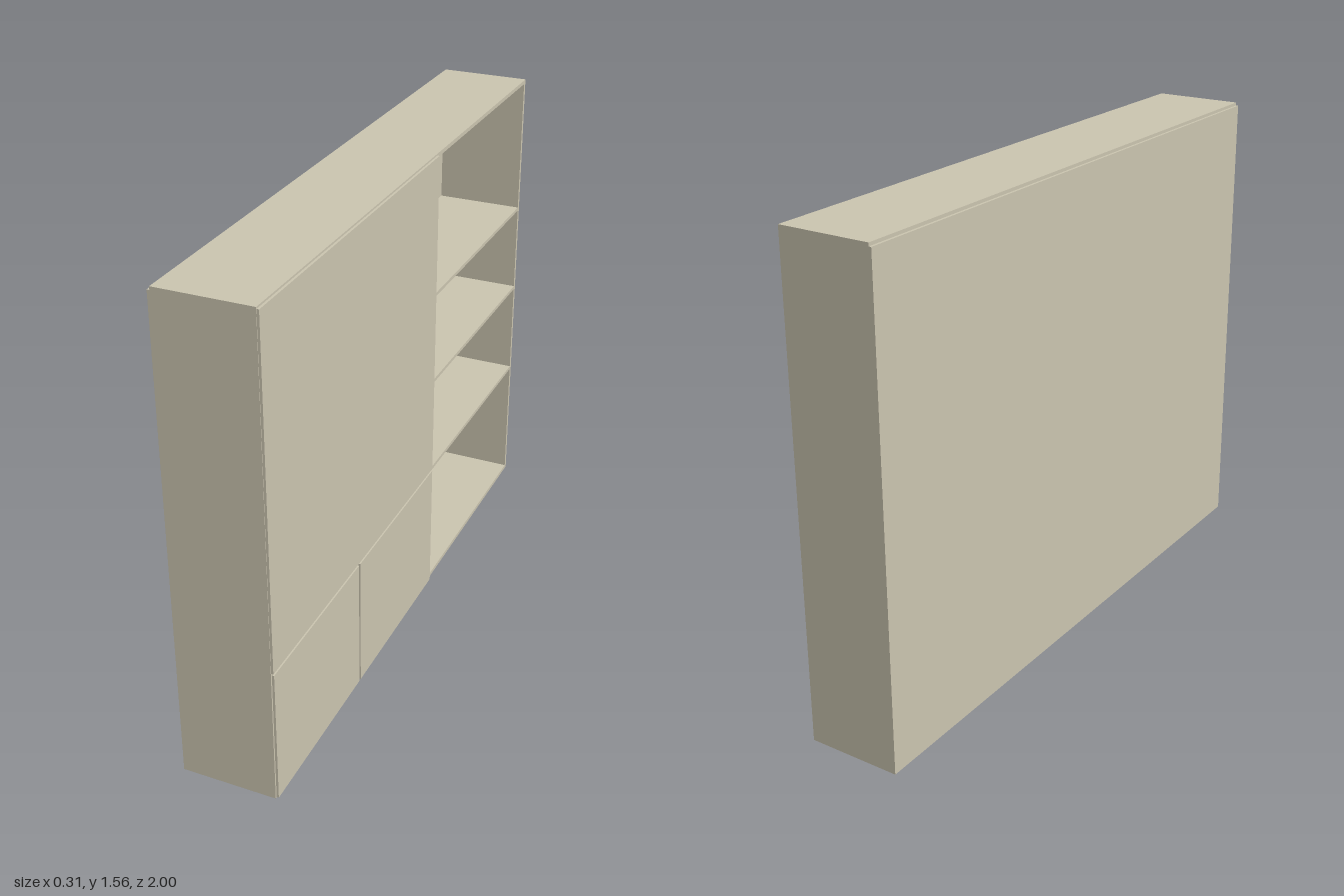
import * as THREE from 'three';

const material = new THREE.MeshStandardMaterial({ color: 0xcbc5b0 });

export function createModel() {
  const model = new THREE.Group();
  model.name = 'wallCabinet';

  // Adds a flat board spanning the given [min, max] ranges
  function board(name, [x0, x1], [y0, y1], [z0, z1]) {
    const mesh = new THREE.Mesh(new THREE.BoxGeometry(x1 - x0, y1 - y0, z1 - z0), material);
    mesh.position.set((x0 + x1) / 2, (y0 + y1) / 2, (z0 + z1) / 2);
    mesh.name = name;
    model.add(mesh);
  }

  const depth = [-0.147, 0.147];
  const front = [0.148, 0.155];
  const height = 1.56, t = 0.013;
  const split = -0.178; // open shelving lies behind this z, closed cabinet ahead of it
  const inner = [t, height - t];

  // Carcass: uprights, then top and bottom boards for both halves
  board('leftSide', depth, inner, [1 - t, 1]);
  board('rightSide', depth, inner, [-1, -1 + t]);
  board('partition', depth, inner, [split, split + t]);
  for (const [half, z] of [['open', [-1, split]], ['closed', [split, 1]]]) {
    board(half + 'Bottom', depth, [0, t], z);
    board(half + 'Top', depth, [height - t, height], z);
  }
  board('backPanel', [-0.155, -0.147], [0, 1.55], [-1, 1]);

  // Open shelves
  for (const y of [0.446, 0.779, 1.088]) {
    board('shelf', depth, [y - 0.006, y + 0.006], [-1 + t, split]);
  }

  // Closed half: board behind the door gap and a lower divider
  board('cabinetShelf', depth, [0.44, 0.453], [split + t, 1 - t]);
  board('lowerDivider', depth, [t, 0.44], [0.418, 0.431]);

  // Doors
  board('upperDoor', front, [0.455, 1.555], [-0.172, 1]);
  board('lowerLeftDoor', front, [0.003, 0.447], [0.429, 0.996]);
  board('lowerRightDoor', front, [0.003, 0.447], [-0.172, 0.419]);

  return model;
}
